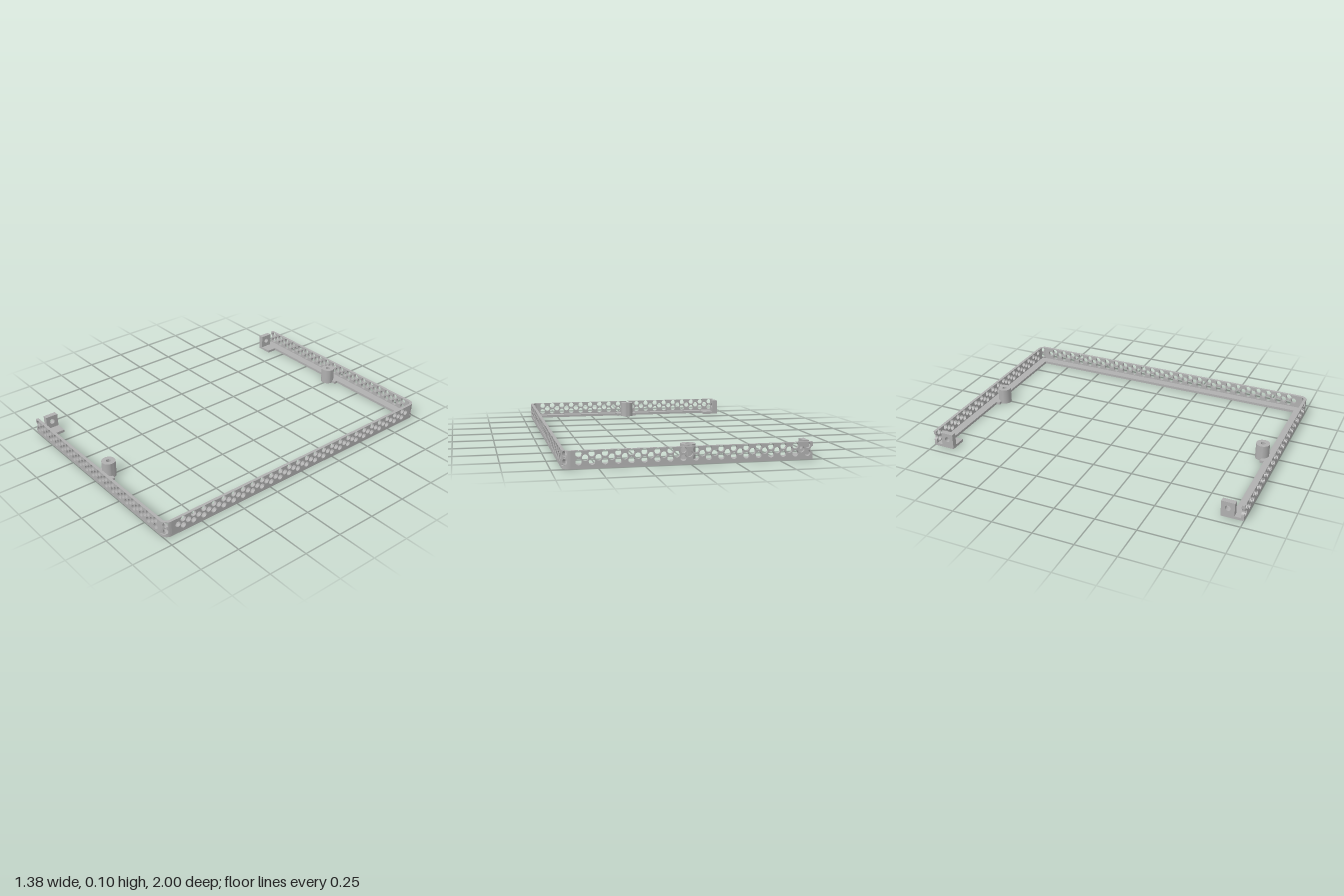
import * as THREE from 'three';
import { toCreasedNormals } from 'three/addons/utils/BufferGeometryUtils.js';

const X = 0.69, Z = 1, H = 0.098;       // half width, half depth, height
const WALL = 0.018, FLOOR = 0.016;      // wall and flange thickness
const R = 0.045;                        // outer corner radius
const PITCH = 0.0702, HOLE = 0.0175;    // perforation spacing and radius
const ROWS = [0.037, 0.08], MID = 0.0585;
const BOSS_X = -0.008, BOSS_Z = 0.9;

export function createModel() {
  const group = new THREE.Group();
  group.name = 'perforatedFrame';
  const grey = new THREE.MeshStandardMaterial({ color: 0xb0b0b0 });
  grey.name = 'grey';

  const add = (name, geometry, x = 0, y = 0, z = 0, turn = 0) => {
    const mesh = new THREE.Mesh(toCreasedNormals(geometry, 0.6), grey);
    mesh.name = name;
    mesh.position.set(x, y, z);
    mesh.rotation.y = turn;
    group.add(mesh);
  };
  const extrude = (shape, depth) =>
    new THREE.ExtrudeGeometry(shape, { depth, bevelEnabled: false, curveSegments: 10 });
  const punch = (shape, x, y, r = HOLE) =>
    shape.holes.push(new THREE.Path().absarc(x, y, r, 0, Math.PI * 2, true));

  // Side walls: two rows of holes with a staggered row between, half hole at the open end
  const sideWall = () => {
    const s = new THREE.Shape();
    const first = -X - 0.005, a = Math.acos(0.005 / HOLE);
    s.moveTo(-X, FLOOR);
    s.lineTo(X - R, FLOOR);
    s.lineTo(X - R, H);
    s.lineTo(-X, H);
    s.absarc(first, MID, HOLE, a, -a, true);
    for (let i = 0; i < 19; i++) {
      for (const y of ROWS) punch(s, first + (i + 0.5) * PITCH, y);
      if (i > 0) punch(s, first + i * PITCH, MID);
    }
    return extrude(s, WALL);
  };
  add('frontWall', sideWall(), 0, 0, Z - WALL);
  add('backWall', sideWall(), 0, 0, -Z);

  // Long wall on the left
  const half = Z - R;
  const long = new THREE.Shape([[-half, FLOOR], [half, FLOOR], [half, H], [-half, H]]
    .map(p => new THREE.Vector2(...p)));
  for (let i = -13; i <= 13; i++) {
    punch(long, i * PITCH, MID);
    if (i < 13) for (const y of ROWS) punch(long, (i + 0.5) * PITCH, y);
  }
  add('longWall', extrude(long, WALL), X - WALL, 0, 0, Math.PI / 2);

  // Rounded corners: a flat strip with two holes, bent through a quarter turn
  const corner = () => {
    const L = R * Math.PI / 2, n = 8, pts = [];
    for (let i = 0; i <= n; i++) pts.push(new THREE.Vector2(L * i / n, FLOOR));
    for (let i = n; i >= 0; i--) pts.push(new THREE.Vector2(L * i / n, H));
    const s = new THREE.Shape(pts);
    for (const y of ROWS) punch(s, L / 2, y, 0.016);
    const g = extrude(s, WALL), p = g.attributes.position;
    for (let i = 0; i < p.count; i++) {
      const a = p.getX(i) / R, r = R - WALL + p.getZ(i);
      p.setXYZ(i, r * Math.sin(a), p.getY(i), r * Math.cos(a));
    }
    g.computeVertexNormals();
    return g;
  };
  add('frontCorner', corner(), X - R, 0, Z - R);
  add('backCorner', corner(), X - R, 0, -Z + R, Math.PI / 2);

  // Bottom flange: half outline with boss wings and end pad, mirrored front to back
  const outline = [[0.62, 0.93], [0.06, 0.93], [0.06, 0.905]];
  for (let i = 0; i <= 10; i++) {
    const a = Math.PI * (0.05 + 0.09 * i);
    outline.push([BOSS_X + 0.036 * Math.cos(a), BOSS_Z + 0.036 * Math.sin(a)]);
  }
  outline.push([-0.075, 0.905], [-0.075, 0.93], [-0.585, 0.93], [-0.585, 0.865], [-X, 0.865], [-X, Z]);
  for (let i = 0; i <= 8; i++) {
    const a = Math.PI / 2 * (1 - i / 8);
    outline.push([X - R + R * Math.cos(a), Z - R + R * Math.sin(a)]);
  }
  const mirrored = outline.map(([x, z]) => [x, -z]).reverse();
  const flange = extrude(new THREE.Shape([...outline, ...mirrored]
    .map(p => new THREE.Vector2(...p))), FLOOR);
  flange.rotateX(Math.PI / 2);
  add('bottomFlange', flange, 0, FLOOR, 0);

  // Screw bosses and upright end tabs on both arms
  const bossProfile = [[0.024, 0], [0.042, 0], [0.042, H], [0.014, H], [0.014, 0.03], [0.024, 0.03], [0.024, 0]]
    .map(p => new THREE.Vector2(...p));
  for (const side of [1, -1]) {
    const prefix = side > 0 ? 'front' : 'back';
    add(prefix + 'Boss', new THREE.LatheGeometry(bossProfile, 32), BOSS_X, 0, side * BOSS_Z);

    const tab = new THREE.Shape([[-0.04, FLOOR], [0.04, FLOOR], [0.04, H], [-0.04, H]]
      .map(p => new THREE.Vector2(...p)));
    punch(tab, 0, MID, 0.017);
    add(prefix + 'EndTab', extrude(tab, 0.032), -X, 0, side * 0.905, Math.PI / 2);
  }
  return group;
}
